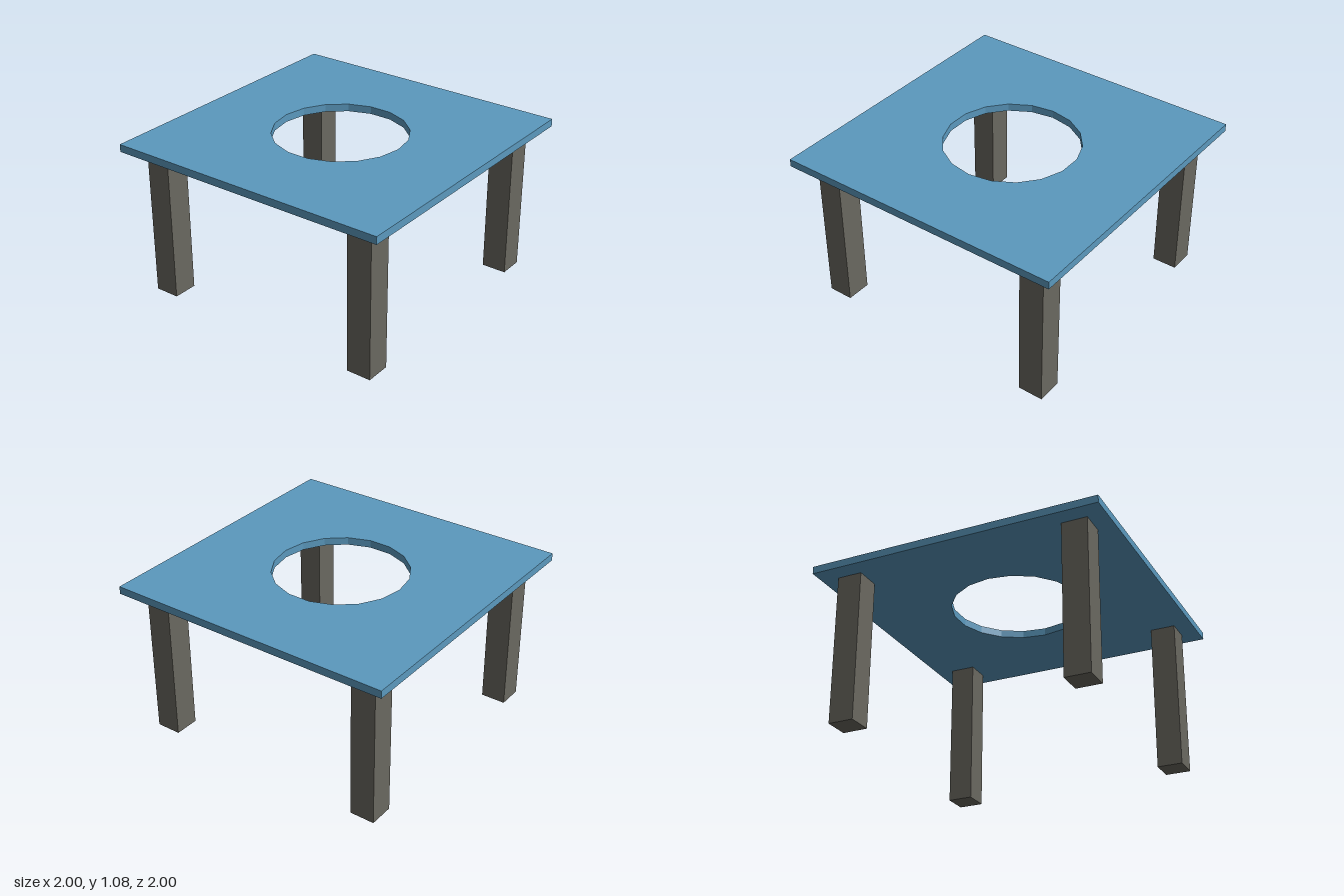
import * as THREE from 'three';

export function createModel() {
  const model = new THREE.Group();
  const blue = new THREE.MeshStandardMaterial({ name: 'blue top', color: 0x5b99be });
  const grey = new THREE.MeshStandardMaterial({ name: 'warm grey legs', color: 0x6a6860 });

  const legHeight = 1.03, legWidth = 0.172, legOffset = 0.794;
  const topThickness = 0.052, holeRadius = 0.452, holeSides = 18;

  // Square top with an 18-sided opening
  const square = new THREE.Shape([
    new THREE.Vector2(-1, -1), new THREE.Vector2(1, -1),
    new THREE.Vector2(1, 1), new THREE.Vector2(-1, 1),
  ]);
  const rim = [];
  for (let i = 0; i < holeSides; i++) {
    const a = -i / holeSides * Math.PI * 2;
    rim.push(new THREE.Vector2(Math.cos(a) * holeRadius, Math.sin(a) * holeRadius));
  }
  square.holes.push(new THREE.Path(rim));
  const topGeometry = new THREE.ExtrudeGeometry(square, { depth: topThickness, bevelEnabled: false });
  topGeometry.rotateX(-Math.PI / 2);
  const top = new THREE.Mesh(topGeometry, blue);
  top.name = 'tableTop';
  top.position.y = legHeight;
  model.add(top);

  // Four square legs
  const legGeometry = new THREE.BoxGeometry(legWidth, legHeight, legWidth);
  for (const [side, x] of [['Left', 1], ['Right', -1]]) {
    for (const [end, z] of [['front', 1], ['back', -1]]) {
      const leg = new THREE.Mesh(legGeometry, grey);
      leg.name = `${end}${side}Leg`;
      leg.position.set(x * legOffset, legHeight / 2, z * legOffset);
      model.add(leg);
    }
  }
  return model;
}
